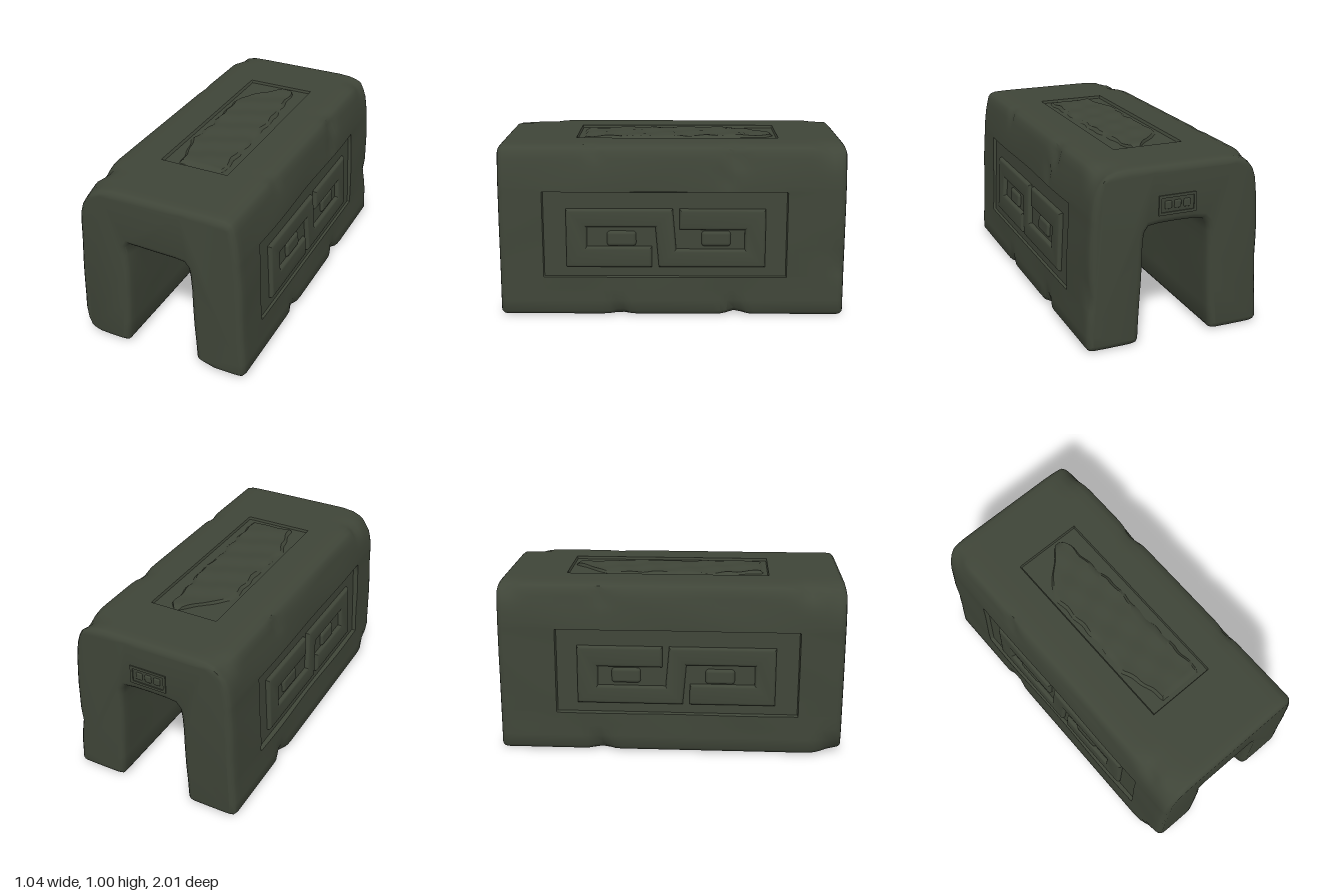
import * as THREE from 'three';
import { toCreasedNormals } from 'three/addons/utils/BufferGeometryUtils.js';
import { RoundedBoxGeometry } from 'three/addons/geometries/RoundedBoxGeometry.js';

const stone = new THREE.MeshStandardMaterial({ color: 0x3f4538 });
stone.name = 'dark mossy stone';

const clamp = THREE.MathUtils.clamp;
const panelX = (y) => 0.49 - (y - 0.24) * 0.05;

// Worn spots on the edges: x, y, z, radius, depth
const chips = [
  [0.46, 0.95, -0.37, 0.09, 0.2], [0.48, 0.82, -0.31, 0.06, 0.12], [0.5, 0.02, -0.37, 0.07, 0.2],
  [0.46, 0.98, 0.46, 0.06, 0.15], [0.5, 0.3, -0.98, 0.07, 0.15], [0.45, 1, -0.93, 0.12, 0.25],
  [-0.46, 1, 0.8, 0.1, 0.3], [-0.46, 1, 0.98, 0.14, 0.3], [-0.48, 0.95, -0.4, 0.07, 0.2],
  [-0.46, 1, -0.95, 0.1, 0.25], [-0.52, 0.02, 0.97, 0.12, 0.3], [0.23, 0.02, 0.98, 0.08, 0.3],
  [-0.52, 0.45, -1, 0.06, 0.15], [0.51, 0.02, 0.3, 0.06, 0.15], [-0.52, 0.02, -0.4, 0.07, 0.2],
];

// Right half of the arch section, from top centre round to inner top centre
function archSection() {
  const outer = new THREE.SplineCurve([
    [0.445, 0.97], [0.468, 0.87], [0.485, 0.74], [0.499, 0.4], [0.506, 0.2], [0.515, 0.035],
  ].map((p) => new THREE.Vector2(...p))).getPoints(80);
  const outerX = (y) => outer.reduce((a, b) => (Math.abs(b.y - y) < Math.abs(a.y - y) ? b : a)).x;
  const rows = [0.97, 0.93, 0.88, 0.83, 0.78, 0.745, 0.74, 0.66, 0.58, 0.5, 0.41, 0.33, 0.245, 0.24, 0.17, 0.1, 0.035];
  const half = [
    [0.07, 1.005], [0.14, 1.005], [0.2, 1.005], [0.205, 1.005], [0.27, 1.005], [0.34, 1.004], [0.395, 1.002], [0.428, 0.992],
    ...rows.map((y) => [outerX(y), y]),
    [0.5, 0.014], [0.475, 0.006], [0.41, 0.005], [0.33, 0.005], [0.255, 0.006], [0.225, 0.014], [0.212, 0.035],
    [0.207, 0.15], [0.202, 0.27], [0.197, 0.39], [0.192, 0.51], [0.187, 0.6], [0.178, 0.65], [0.158, 0.677], [0.1, 0.684],
  ];
  const left = half.map(([x, y]) => [-x, y]).reverse();
  return [[0, 1.005], ...half, [0, 0.686], ...left].map((p) => new THREE.Vector2(...p));
}

// Moves one point of the block: carved recesses, chips and slight waviness
function weather(p, isEnd) {
  const s = Math.sign(p.x), ax = Math.abs(p.x);
  if (!isEnd && ax > 0.4 && p.y > 0.242 && p.y < 0.742 && p.z > -0.662 && p.z < 0.742) {
    p.x = s * panelX(p.y);
    return;
  }
  if (!isEnd && ax < 0.203 && p.y > 0.9 && p.z > -0.622 && p.z < 0.562) {
    p.y = 0.99;
    return;
  }
  const tx = clamp(p.x, -0.35, 0.35), ty = clamp(p.y, 0.12, 0.85);
  for (const [x, y, z, r, depth] of chips) {
    const d = Math.hypot(p.x - x, p.y - y, p.z - z) / r;
    if (d < 1.4) {
      const k = depth * Math.exp(-2.2 * d * d);
      p.x += (tx - p.x) * k;
      p.y += (ty - p.y) * k;
    }
  }
  if (p.x < 0) p.x *= 1.018;
  // Dent at the inner corner of the front opening
  const dent = Math.exp(-Math.pow(Math.hypot(p.x + 0.2, p.y - 0.67, p.z - 1) / 0.09, 2));
  p.x -= 0.03 * dent;
  p.y += 0.02 * dent;
  if (ax > 0.19 && p.y > 0.05 && p.y < 0.95) {
    p.x += 0.004 * Math.sin(p.z * 7 + p.y * 6) * Math.sin(p.y * 9 + s);
  }
}

function archGeometry() {
  const loop = archSection(), n = loop.length, r = 0.035;
  const normals = loop.map((p, i) => {
    const t = loop[(i + 1) % n].clone().sub(loop[(i + n - 1) % n]).normalize();
    return new THREE.Vector2(-t.y, t.x);
  });
  // Stations along z, with a rounded bevel at each end and tight pairs at recess edges
  const bevel = [0, 30, 60].map((d) => {
    const a = THREE.MathUtils.degToRad(d);
    return [1 - r * (1 - Math.cos(a)), r * (1 - Math.sin(a))];
  });
  const stations = [...bevel.map(([z, inset]) => [-z, inset])];
  const zs = [-0.665, -0.66, -0.625, -0.62, 0.56, 0.565, 0.74, 0.745];
  for (let i = 0; i <= 48; i++) {
    const z = -0.965 + (i * 1.93) / 48;
    if (zs.slice(0, 8).every((v) => Math.abs(v - z) > 0.008)) zs.push(z);
  }
  zs.sort((a, b) => a - b).forEach((z) => stations.push([z, 0]));
  stations.push(...bevel.reverse());

  const pos = [], index = [], p = new THREE.Vector3();
  stations.forEach(([z, inset]) => loop.forEach((v, j) => {
    p.set(v.x - normals[j].x * inset, v.y - normals[j].y * inset, z);
    weather(p, Math.abs(z) > 0.9);
    pos.push(p.x, p.y, p.z);
  }));
  for (let i = 0; i < stations.length - 1; i++) {
    for (let j = 0; j < n; j++) {
      const a = i * n + j, b = i * n + ((j + 1) % n), c = a + n, d = b + n;
      index.push(a, c, b, b, c, d);
    }
  }
  // End faces
  const last = (stations.length - 1) * n;
  for (const [a, b, c] of THREE.ShapeUtils.triangulateShape(loop, [])) {
    const ccw = loop[b].clone().sub(loop[a]).cross(loop[c].clone().sub(loop[a])) > 0;
    const [q, w] = ccw ? [b, c] : [c, b];
    index.push(last + a, last + q, last + w, a, w, q);
  }
  const g = new THREE.BufferGeometry();
  g.setAttribute('position', new THREE.Float32BufferAttribute(pos, 3));
  g.setIndex(index);
  return toCreasedNormals(g, 0.8);
}

// Interlocking square spiral, point symmetric about its centre
function spiralGeometry(side) {
  const half = [
    [-0.04, 0.172], [0.575, 0.172], [0.575, -0.172], [0.08, -0.172],
    [0.08, -0.05], [0.455, -0.05], [0.455, 0.065], [0.06, 0.065],
  ];
  const pts = [...half, ...half.map(([u, v]) => [-u, -v])];
  const shape = new THREE.Shape(pts.map(([u, v]) => new THREE.Vector2(-side * u, v)));
  const g = new THREE.ExtrudeGeometry(shape, {
    depth: 0.015, bevelEnabled: true, bevelThickness: 0.018, bevelSize: 0.018, bevelOffset: -0.018, bevelSegments: 3,
  });
  return toCreasedNormals(g, 0.7);
}

// Rough raised patch: left and right edges follow z
function roughPatchGeometry() {
  const edges = [
    [-0.61, 0.05, 0.07], [-0.57, 0.01, 0.11], [-0.48, -0.08, 0.12], [-0.37, -0.185, 0.13], [-0.17, -0.18, 0.155],
    [0.05, -0.17, 0.15], [0.25, -0.19, 0.16], [0.37, -0.15, 0.16], [0.54, -0.11, 0.17],
  ];
  const edgeAt = (z, k) => {
    const i = clamp(edges.findIndex((e) => e[0] >= z), 1, edges.length - 1), a = edges[i - 1], b = edges[i];
    return THREE.MathUtils.lerp(a[k], b[k], clamp((z - a[0]) / (b[0] - a[0]), 0, 1));
  };
  const g = new THREE.PlaneGeometry(1, 1, 14, 50).rotateX(-Math.PI / 2);
  const pos = g.attributes.position;
  for (let i = 0; i < pos.count; i++) {
    const u = pos.getX(i) + 0.5, v = pos.getZ(i) + 0.5, z = -0.61 + v * 1.15;
    const rim = u < 0.01 || u > 0.99 || v < 0.01 || v > 0.99;
    const x = THREE.MathUtils.lerp(edgeAt(z, 1), edgeAt(z, 2), u) + (u < 0.1 || u > 0.9 ? 0.005 * Math.sin(z * 45) : 0);
    const ripple = 0.003 * Math.sin(z * 32 + x * 14) + 0.002 * Math.sin(x * 40 - z * 13);
    pos.setXYZ(i, x, rim ? 0.985 : 1.004 + ripple, z);
  }
  return toCreasedNormals(g, 0.7);
}

export function createModel() {
  const model = new THREE.Group();
  const add = (name, geometry, parent = model) => {
    const m = new THREE.Mesh(geometry, stone);
    m.name = name;
    parent.add(m);
    return m;
  };
  add('archBlock', archGeometry());
  add('roughTopPatch', roughPatchGeometry());

  // Carvings on both walls, leaning with the wall
  for (const side of [1, -1]) {
    const carving = new THREE.Group();
    carving.name = side > 0 ? 'leftCarving' : 'rightCarving';
    carving.position.set(side * (panelX(0.47) - 0.008), 0.472, 0.035);
    carving.rotation.set(0, 0, side * 0.05);
    add('spiralBand', spiralGeometry(side), carving).rotation.y = side * Math.PI / 2;
    for (const z of [0.255, -0.29]) {
      add('spiralBoss', new RoundedBoxGeometry(0.05, 0.09, 0.17, 3, 0.02), carving).position.set(0, -0.003, z);
    }
    model.add(carving);
  }

  // Small framed panel with three studs on the back
  const frame = new THREE.Shape([[-0.11, -0.055], [0.11, -0.055], [0.11, 0.055], [-0.11, 0.055]].map((p) => new THREE.Vector2(...p)));
  frame.holes.push(new THREE.Path([[-0.095, -0.04], [-0.095, 0.04], [0.095, 0.04], [0.095, -0.04]].map((p) => new THREE.Vector2(...p))));
  add('backFrame', new THREE.ExtrudeGeometry(frame, { depth: 0.012, bevelEnabled: false })).position.set(0, 0.79, -1.006);
  for (const x of [-0.055, 0, 0.055]) {
    add('backStud', new RoundedBoxGeometry(0.04, 0.045, 0.02, 2, 0.008)).position.set(x, 0.79, -0.998);
  }
  return model;
}
